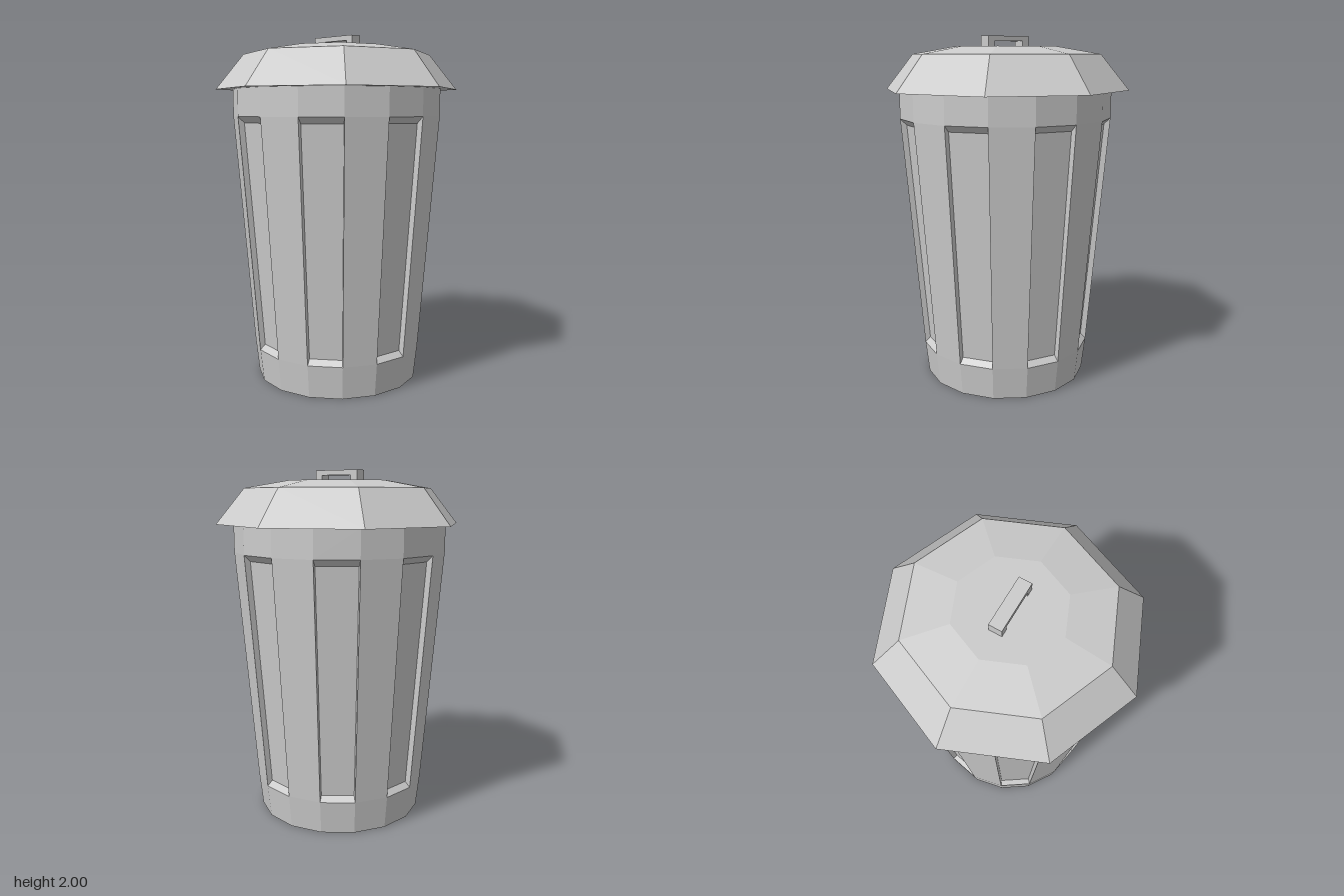
import * as THREE from 'three';

const SIDES = 16;
const material = (side = THREE.FrontSide) =>
  new THREE.MeshStandardMaterial({ color: 0xcccccc, flatShading: true, side });

function addMesh(parent, name, geometry, mat) {
  const mesh = new THREE.Mesh(geometry, mat);
  mesh.name = name;
  parent.add(mesh);
  return mesh;
}

// Thin tapered shell whose every other side holds a recessed panel
function bodyGeometry() {
  const rings = [[0.479, 0], [0.5, 0.19], [0.608, 1.545], [0.608, 1.7]];
  const inset = [[0.47, 0.22], [0.572, 1.51]];
  const positions = [];
  const point = ([r, y], i) => {
    const a = (i / SIDES) * Math.PI * 2;
    return [r * Math.sin(a), y, r * Math.cos(a)];
  };
  // corners run counter-clockwise seen from outside
  const quad = (a, b, c, d) => positions.push(...a, ...b, ...c, ...a, ...c, ...d);
  const wall = (low, high, i) =>
    quad(point(low, i), point(low, i + 1), point(high, i + 1), point(high, i));

  for (let i = 0; i < SIDES; i++) {
    wall(rings[0], rings[1], i);
    wall(rings[2], rings[3], i);
    if (i % 2 === 0) {
      wall(rings[1], rings[2], i);
      continue;
    }
    // recess: lower ledge, panel, upper ledge and two side walls
    wall(rings[1], inset[0], i);
    wall(inset[0], inset[1], i);
    wall(inset[1], rings[2], i);
    quad(point(rings[1], i), point(inset[0], i), point(inset[1], i), point(rings[2], i));
    quad(point(inset[0], i + 1), point(rings[1], i + 1), point(rings[2], i + 1), point(inset[1], i + 1));
  }
  const geometry = new THREE.BufferGeometry();
  geometry.setAttribute('position', new THREE.Float32BufferAttribute(positions, 3));
  geometry.computeVertexNormals();
  return geometry;
}

// Eight-sided lid with sloped brim, shallow crown and flat underside
function lidGeometry() {
  const profile = [[0, 1.7], [0.707, 1.7], [0.543, 1.9], [0.293, 1.943], [0, 1.943]];
  return new THREE.LatheGeometry(profile.map(([r, y]) => new THREE.Vector2(r, y)), 8);
}

// Square bridge-shaped grip
function handleGeometry() {
  const outline = [
    [-0.142, 1.943], [-0.1, 1.943], [-0.1, 1.972], [0.1, 1.972],
    [0.1, 1.943], [0.142, 1.943], [0.142, 2], [-0.142, 2],
  ];
  const shape = new THREE.Shape(outline.map(([x, y]) => new THREE.Vector2(x, y)));
  const depth = 0.072;
  return new THREE.ExtrudeGeometry(shape, { depth, bevelEnabled: false })
    .translate(0, 0, -depth / 2);
}

export function createModel() {
  const bin = new THREE.Group();
  bin.name = 'trashCan';
  addMesh(bin, 'body', bodyGeometry(), material(THREE.DoubleSide));
  const lid = new THREE.Group();
  lid.name = 'lid';
  bin.add(lid);
  addMesh(lid, 'lidCover', lidGeometry(), material());
  addMesh(lid, 'lidHandle', handleGeometry(), material());
  return bin;
}
